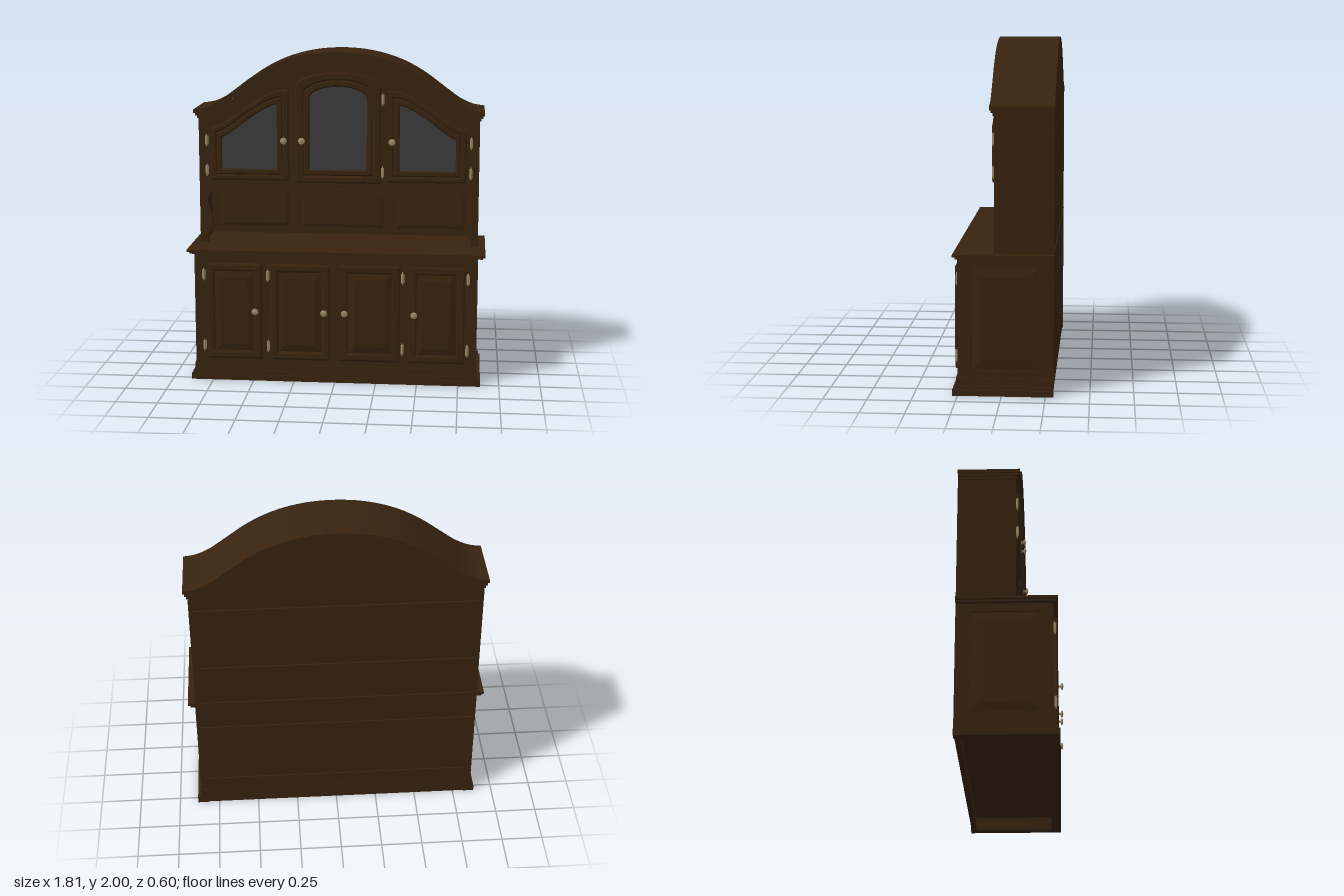
import * as THREE from 'three';

export function createModel() {
  const root = new THREE.Group();
  root.name = 'hutchCabinet';
  const mat = (name, color) => {
    const m = new THREE.MeshStandardMaterial({ color });
    m.name = name;
    return m;
  };
  const wood = mat('dark wood', 0x38230f);
  const glass = mat('grey glass', 0x3c3c3c);
  const brass = mat('aged brass', 0x9c8a68);

  const add = (name, geo, m = wood, parent = root) => {
    const mesh = new THREE.Mesh(geo, m);
    mesh.name = name;
    parent.add(mesh);
    return mesh;
  };
  const box = (name, x0, x1, y0, y1, z0, z1) =>
    add(name, new THREE.BoxGeometry(x1 - x0, y1 - y0, z1 - z0)
      .translate((x0 + x1) / 2, (y0 + y1) / 2, (z0 + z1) / 2));
  const vec = (pts) => pts.map(([x, y]) => new THREE.Vector2(x, y));
  const rect = (x0, x1, y0, y1) => [[x0, y0], [x1, y0], [x1, y1], [x0, y1]];

  // Extruded outline from z0 to z1, with optional hole and bevel [size, thickness]
  const plateGeo = (outer, z0, z1, hole, bevel) => {
    const shape = new THREE.Shape(vec(outer));
    if (hole) shape.holes.push(new THREE.Path(vec(hole)));
    const [size, b] = bevel || [0, 0];
    return new THREE.ExtrudeGeometry(shape, {
      depth: z1 - z0 - 2 * b, bevelEnabled: !!bevel, bevelSize: size,
      bevelThickness: b, bevelOffset: -size, bevelSegments: 1,
    }).translate(0, 0, z0 + b);
  };
  const plate = (name, outer, z0, z1, hole, bevel, m) =>
    add(name, plateGeo(outer, z0, z1, hole, bevel), m);
  const mirror = (pts) => pts.map(([x, y]) => [-x, y]).reverse();

  // Fittings
  const knobGeo = new THREE.LatheGeometry(vec([
    [0, 0], [0.013, 0], [0.012, 0.004], [0.006, 0.007], [0.006, 0.014],
    [0.018, 0.019], [0.021, 0.024], [0.016, 0.029], [0, 0.031]]), 16).rotateX(Math.PI / 2);
  const hingeGeo = new THREE.LatheGeometry(vec([
    [0, -0.04], [0.005, -0.036], [0.003, -0.03], [0.007, -0.028], [0.007, 0.028],
    [0.003, 0.03], [0.005, 0.036], [0, 0.04]]), 10);
  const knob = (x, y, z) => add('knob', knobGeo, brass).position.set(x, y, z);
  const hinge = (x, y, z) => {
    add('hinge', hingeGeo, brass).position.set(x, y, z + 0.005);
    add('hingeLeaf', new THREE.BoxGeometry(0.02, 0.055, 0.006), brass).position.set(x, y, z);
  };

  // Plinth, hollow underneath
  for (const [y0, y1, w, z] of [[0, 0.035, 0.885, 0.28], [0.035, 0.055, 0.875, 0.27], [0.055, 0.1, 0.866, 0.26]]) {
    box('plinthFront', -w, w, y0, y1, 0.22, z);
    box('plinthBack', -0.82, 0.82, y0, y1, -0.29, -0.26);
    box('plinthRight', -w, -0.82, y0, y1, -0.295, 0.22);
    box('plinthLeft', 0.82, w, y0, y1, -0.295, 0.22);
  }

  // Lower case with panelled sides
  box('lowerCase', -0.85, 0.85, 0.08, 0.795, -0.28, 0.25);
  for (const s of [-1, 1]) {
    const side = new THREE.Group();
    side.name = s > 0 ? 'lowerLeftSide' : 'lowerRightSide';
    side.rotation.y = s * Math.PI / 2;
    // local x runs along -z on the left side and +z on the right
    const span = (a, b, y0, y1) => s > 0 ? rect(-b, -a, y0, y1) : rect(a, b, y0, y1);
    add('sideFrame', plateGeo(span(-0.295, 0.25, 0.09, 0.795), 0.84, 0.86, span(-0.215, 0.175, 0.14, 0.74)), wood, side);
    add('sidePanel', plateGeo(span(-0.205, 0.165, 0.15, 0.73), 0.842, 0.859, null, [0.05, 0.008]), wood, side);
    root.add(side);
  }

  // Countertop
  box('countertopMoulding', -0.888, 0.888, 0.788, 0.8, -0.295, 0.262);
  box('countertop', -0.903, 0.903, 0.8, 0.815, -0.295, 0.275);

  // Lower doors
  for (const [x0, x1] of [[-0.785, -0.445], [-0.395, -0.03], [0.03, 0.395], [0.445, 0.785]]) {
    plate('lowerDoorFrame', rect(x0, x1, 0.135, 0.735), 0.25, 0.272,
      rect(x0 + 0.05, x1 - 0.05, 0.185, 0.685), [0.012, 0.006]);
    plate('lowerDoorPanel', rect(x0 + 0.045, x1 - 0.045, 0.18, 0.69), 0.238, 0.266, null, [0.045, 0.012]);
  }
  for (const x of [-0.485, -0.065, 0.06, 0.48]) knob(x, 0.44, 0.27);
  for (const x of [-0.803, -0.41, 0.41, 0.803]) for (const y of [0.215, 0.66]) hinge(x, y, 0.253);

  // Crown curve
  const half = [[-0.885, 1.645], [-0.81, 1.658], [-0.73, 1.695], [-0.64, 1.76],
    [-0.5, 1.862], [-0.35, 1.938], [-0.18, 1.985]];
  const spline = (pts, n) => new THREE.SplineCurve(vec(pts)).getPoints(n).map((p) => [p.x, p.y]);
  const crown = spline([...half, [0, 2], ...mirror(half)], 72);
  const arc = (w, drop) => crown.map(([x, y]) => [x * w / 0.885, y - drop]);
  for (const [t0, t1, w, z] of [[0, 0.022, 0.885, 0.067], [0.018, 0.038, 0.876, 0.058], [0.034, 0.055, 0.866, 0.049]])
    plate('crownMoulding', [...arc(w, t1), ...arc(w, t0).reverse()], -0.295, z);

  // Upper case sides, shelf and back
  box('upperRightSide', -0.858, -0.835, 0.815, 1.61, -0.295, 0.04);
  box('upperLeftSide', 0.835, 0.858, 0.815, 1.61, -0.295, 0.04);
  box('nicheCeiling', -0.84, 0.84, 1.18, 1.2, -0.28, 0.02);
  const topEdge = arc(0.856, 0.03).reverse();
  plate('upperBack', [[-0.856, 0.815], [0.856, 0.815], ...topEdge], -0.28, -0.265);
  for (const [y0, y1] of [[0.1, 0.2], [0.2, 0.62], [0.62, 0.79], [0.815, 1.08], [1.08, 1.5]])
    box('backBoard', -0.838, 0.838, y0 + 0.003, y1 - 0.003, -0.291, -0.279);
  plate('topBackBoard', [[-0.838, 1.503], [0.838, 1.503], ...arc(0.838, 0.03).reverse()], -0.291, -0.279);

  // Niche panels
  for (const [x0, x1] of [[-0.78, -0.34], [-0.26, 0.26], [0.34, 0.78]])
    plate('nichePanel', rect(x0, x1, 0.86, 1.12), -0.27, -0.252, null, [0.02, 0.006]);

  // Upper face frame with a scalloped niche opening
  const scallop = [[-0.81, 0.815], [-0.808, 0.86], [-0.785, 0.9], [-0.777, 0.95], [-0.79, 1.01],
    [-0.808, 1.06], [-0.8, 1.115], [-0.76, 1.14], [-0.6, 1.143], [-0.42, 1.14], [-0.25, 1.115], [-0.11, 1.145]];
  const opening = spline([...scallop, [0, 1.165], ...mirror(scallop)], 96);
  plate('upperFaceFrame', [[-0.856, 0.815], ...opening, [0.856, 0.815], ...topEdge], 0.012, 0.042);

  // Glazed upper doors
  const arched = (w, y0, spring, peak) => {
    const pts = [[-w, y0], [w, y0]];
    for (let i = 0; i <= 20; i++) {
      const a = Math.PI * i / 20;
      pts.push([w * Math.cos(a), spring + (peak - spring) * Math.sin(a)]);
    }
    return pts;
  };
  const glazedDoor = (name, outer, middle, pane) => {
    plate(name + 'Frame', outer, 0.04, 0.058, middle, [0.01, 0.005]);
    plate(name + 'Moulding', middle, 0.04, 0.053, pane, [0.008, 0.005]);
    plate(name + 'Glass', pane, 0.04, 0.046, null, null, glass);
  };
  const sideOuter = [[-0.78, 1.21], [-0.3, 1.21], [-0.3, 1.77], [-0.37, 1.768], [-0.45, 1.735],
    [-0.55, 1.67], [-0.65, 1.597], [-0.72, 1.555], [-0.78, 1.535]];
  const sideMiddle = [[-0.745, 1.245], [-0.34, 1.245], [-0.34, 1.725], [-0.38, 1.72], [-0.45, 1.692],
    [-0.55, 1.63], [-0.64, 1.56], [-0.7, 1.522], [-0.745, 1.505]];
  const sidePane = [[-0.715, 1.28], [-0.375, 1.28], [-0.375, 1.68], [-0.41, 1.67], [-0.46, 1.645],
    [-0.55, 1.588], [-0.63, 1.525], [-0.68, 1.49], [-0.715, 1.475]];
  glazedDoor('upperRightDoor', sideOuter, sideMiddle, sidePane);
  glazedDoor('upperLeftDoor', mirror(sideOuter), mirror(sideMiddle), mirror(sidePane));
  glazedDoor('upperMiddleDoor', arched(0.26, 1.2, 1.79, 1.88),
    arched(0.21, 1.245, 1.74, 1.83), arched(0.175, 1.28, 1.715, 1.79));
  for (const x of [-0.33, -0.22, 0.33]) knob(x, 1.46, 0.057);
  for (const [x, y] of [[-0.808, 1.455], [0.808, 1.455], [-0.808, 1.27], [0.808, 1.27], [0.272, 1.715], [0.272, 1.27]])
    hinge(x, y, 0.045);

  return root;
}
